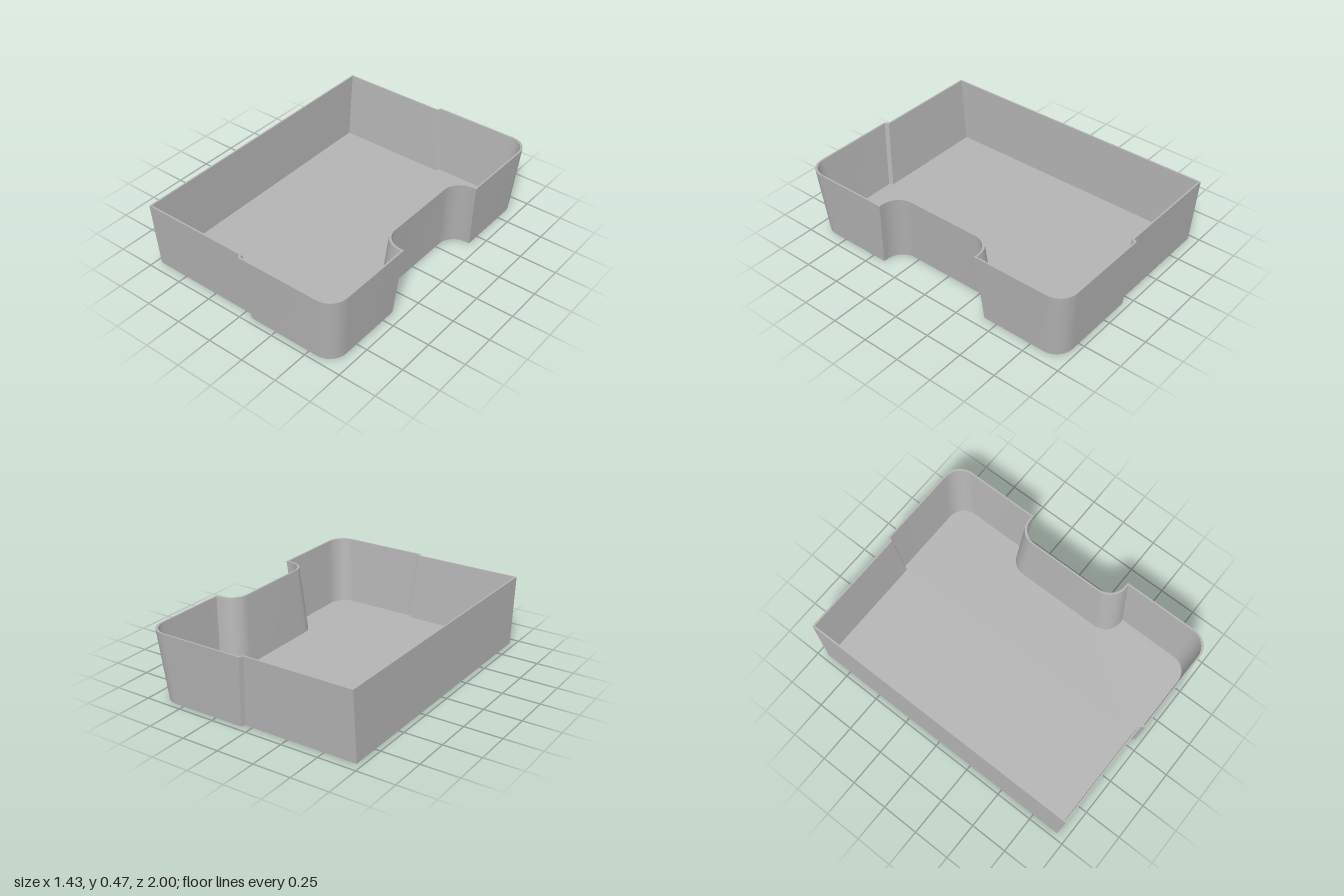
import * as THREE from 'three';
import { toCreasedNormals } from 'three/addons/utils/BufferGeometryUtils.js';

const H = 0.465, WALL = 0.011, DRAFT = 0.038, FLOOR = 0.01, R = 0.12, ARC = 12;

// Plan outline as [x, z], shrunk by o; the straight left wall moves only by w
function outline(o, w) {
  const half = [[-0.715 + w, 0.975 - o], [0.012 + o, 0.975 - o], [0.026 + o, 1 - o]];
  const arc = (cx, cz, from, to) => {
    for (let i = 0; i <= ARC; i++) {
      const a = from + (to - from) * i / ARC;
      half.push([cx + R * Math.cos(a), cz + R * Math.sin(a)]);
    }
  };
  arc(0.715 - o - R, 1 - o - R, Math.PI / 2, 0);               // outer corner
  half.push([0.715 - o, 0.37 + o]);                            // notch lip
  arc(0.567 - o + R, 0.37 + o - R, Math.PI / 2, Math.PI);      // notch corner
  return half.concat(half.slice().reverse().map(([x, z]) => [x, -z]));
}

// Band of quads joining two matching outlines
function band(a, ya, b, yb) {
  const pos = [];
  a.forEach((p, i) => {
    const j = (i + 1) % a.length;
    const A = [p[0], ya, p[1]], B = [a[j][0], ya, a[j][1]];
    const C = [b[j][0], yb, b[j][1]], D = [b[i][0], yb, b[i][1]];
    pos.push(...A, ...B, ...C, ...A, ...C, ...D);
  });
  const g = new THREE.BufferGeometry();
  g.setAttribute('position', new THREE.Float32BufferAttribute(pos, 3));
  return toCreasedNormals(g, 0.4);
}

// Flat plate filling an outline, facing up or down
function plate(pts, y, up) {
  const s = up ? -1 : 1;
  const g = new THREE.ShapeGeometry(new THREE.Shape(pts.map(([x, z]) => new THREE.Vector2(x, s * z))));
  g.rotateX(s * Math.PI / 2);
  return g.translate(0, y, 0);
}

export function createModel() {
  const group = new THREE.Group();
  group.name = 'tray';
  const grey = new THREE.MeshStandardMaterial({ color: 0xb3b3b3 });
  grey.name = 'grey';
  const add = (name, geometry) => {
    const mesh = new THREE.Mesh(geometry, grey);
    mesh.name = name;
    group.add(mesh);
  };

  const topOut = outline(0, 0), topIn = outline(WALL, WALL);
  const botOut = outline(DRAFT, 0), botIn = outline(DRAFT + WALL, WALL);

  add('outerWall', band(botOut, 0, topOut, H));
  add('rim', band(topOut, H, topIn, H));
  add('innerWall', band(topIn, H, botIn, FLOOR));
  add('floor', plate(botIn, FLOOR, true));
  add('underside', plate(botOut, 0, false));
  return group;
}
